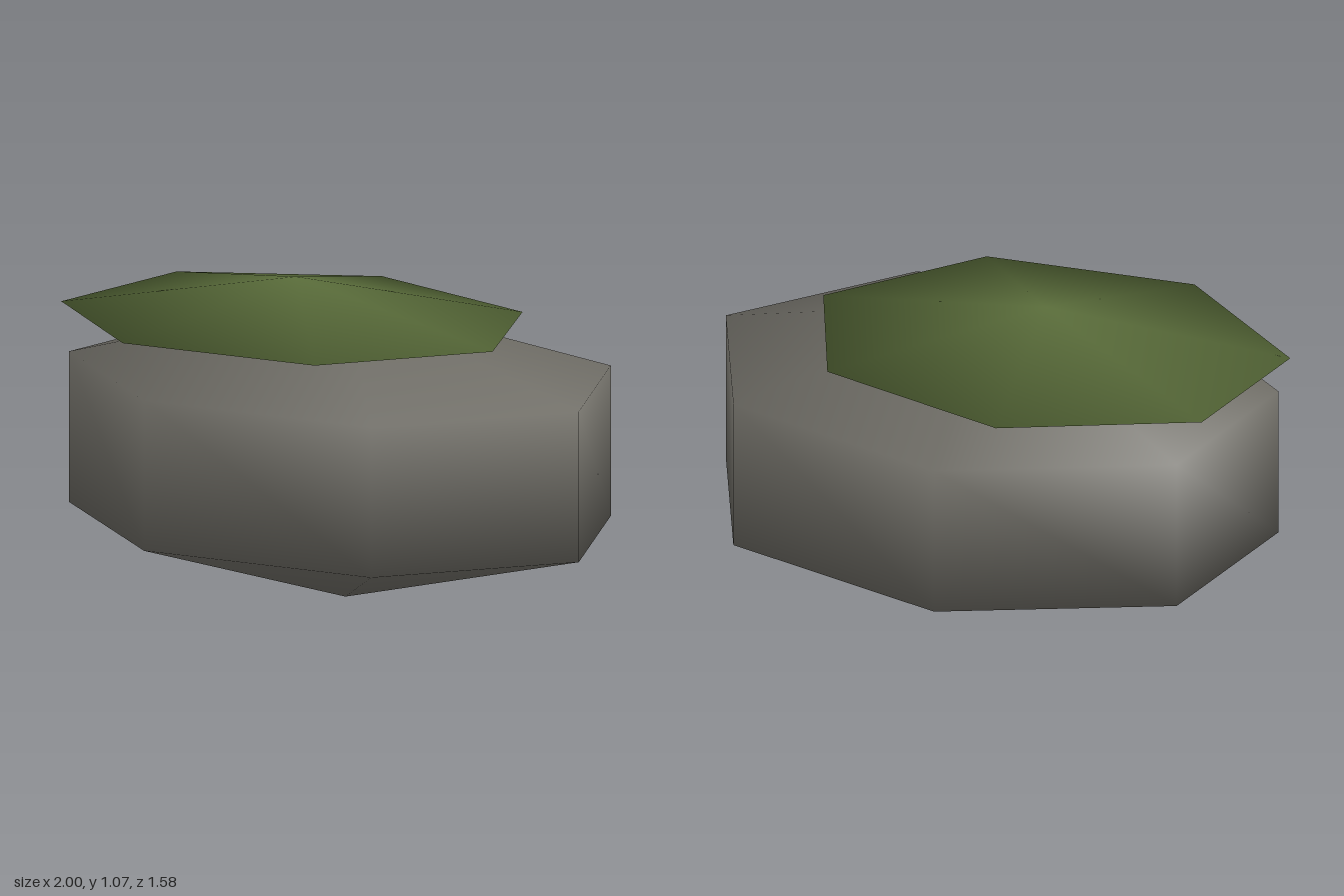
import * as THREE from 'three';

const stone = new THREE.MeshStandardMaterial({ color: 0x6e6c65 });
stone.name = 'stone grey';
const moss = new THREE.MeshStandardMaterial({ color: 0x5b6e3b });
moss.name = 'moss green';

// Seven-sided low-poly ellipsoid with smooth normals, one corner pointing to +x
function blob(name, material, rings, radii, centre) {
  const geometry = new THREE.SphereGeometry(1, 7, rings);
  geometry.rotateY(Math.PI);
  geometry.scale(...radii);
  const mesh = new THREE.Mesh(geometry, material);
  mesh.name = name;
  mesh.position.set(...centre);
  return mesh;
}

export function createModel() {
  const model = new THREE.Group();
  model.name = 'mossyBoulder';

  // Boulder: two rings between its poles, giving upright sides
  model.add(blob('boulder', stone, 3, [1.172, 0.517, 0.935], [-0.015, 0.517, 0]));

  // Moss cap: a flat double cone, shifted to one side and sunk into the top
  model.add(blob('mossCap', moss, 2, [0.855, 0.14, 0.703], [-0.23, 0.93, 0]));

  return model;
}
